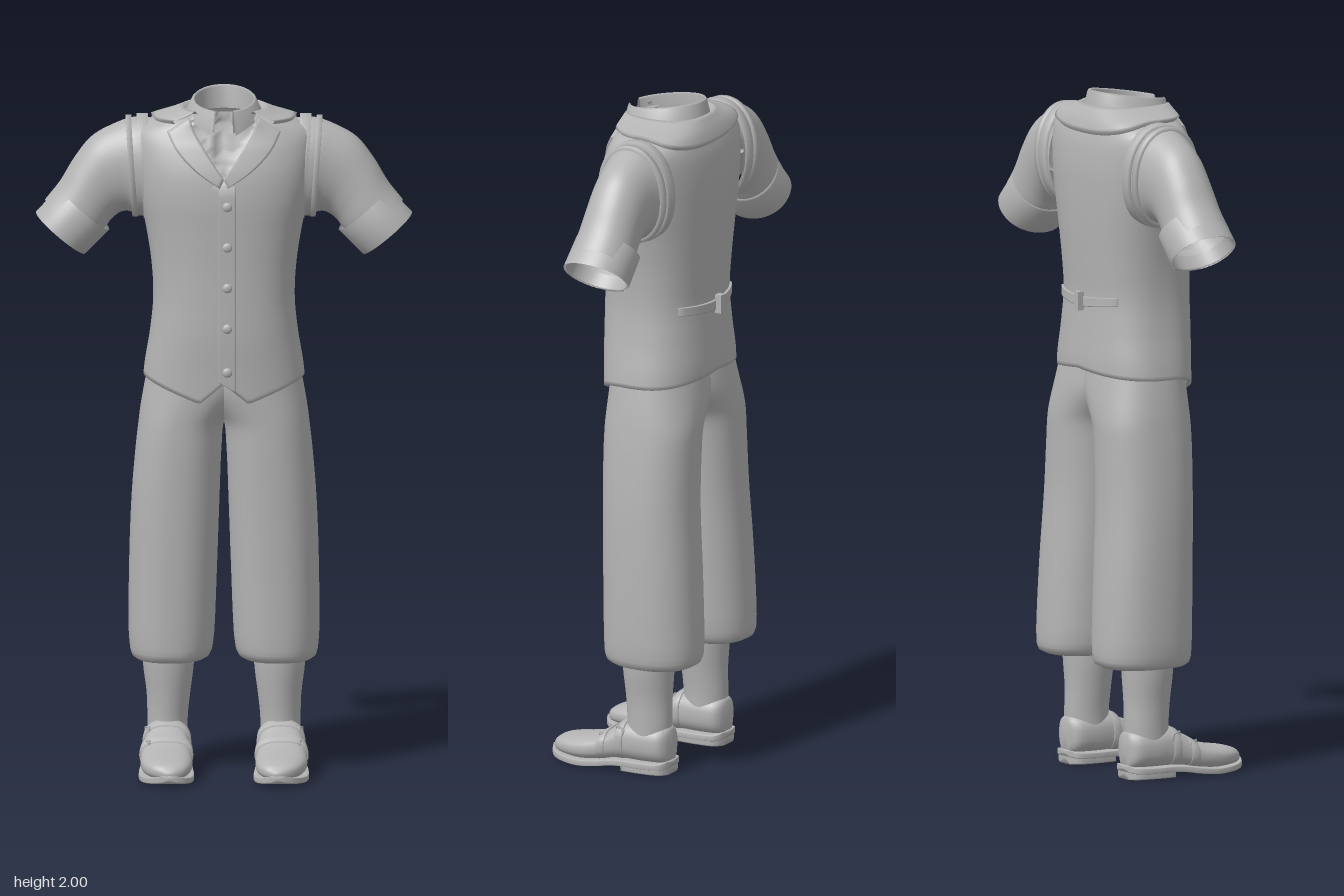
import * as THREE from 'three';

const V = (x, y, z) => new THREE.Vector3(x, y, z);
const grey = new THREE.MeshStandardMaterial({ color: 0xb4b4b4, side: THREE.DoubleSide });
grey.name = 'plain grey';

// Smooth lookup in a table of rows [key, a, b, ...] sorted by rising key
function sample(table, k) {
  const n = table.length - 1;
  k = Math.min(Math.max(k, table[0][0]), table[n][0]);
  let i = 0;
  while (i < n - 1 && k > table[i + 1][0]) i++;
  const p = table[i], q = table[i + 1], o = table[Math.max(i - 1, 0)], r = table[Math.min(i + 2, n)];
  const h = q[0] - p[0], t = (k - p[0]) / h, t2 = t * t, t3 = t2 * t;
  return p.slice(1).map((a, j) => {
    const b = q[j + 1];
    const m0 = (b - o[j + 1]) / (q[0] - o[0]) * h, m1 = (r[j + 1] - a) / (r[0] - p[0]) * h;
    return a * (2 * t3 - 3 * t2 + 1) + m0 * (t3 - 2 * t2 + t) + b * (3 * t2 - 2 * t3) + m1 * (t3 - t2);
  });
}

// Skin over a list of point rows; closed rows wrap round
function loft(name, rows, closed = true) {
  const pos = [], index = [], n = rows[0].length;
  rows.forEach(row => row.forEach(p => pos.push(p.x, p.y, p.z)));
  for (let i = 0; i < rows.length - 1; i++) {
    for (let j = 0; j < (closed ? n : n - 1); j++) {
      const a = i * n + j, b = i * n + (j + 1) % n;
      index.push(a, b, b + n, a, b + n, a + n);
    }
  }
  const g = new THREE.BufferGeometry();
  g.setAttribute('position', new THREE.Float32BufferAttribute(pos, 3));
  g.setIndex(index);
  g.computeVertexNormals();
  const mesh = new THREE.Mesh(g, grey);
  mesh.name = name;
  return mesh;
}

const pw = (c, n) => Math.sign(c) * Math.abs(c) ** (2 / n);
// Closed ring of f(sin, cos) with superellipse exponent n
const ring = (count, n, f) => Array.from({ length: count }, (_, i) => {
  const a = i / count * Math.PI * 2;
  return f(pw(Math.sin(a), n), pw(Math.cos(a), n));
});
// Horizontal ring between x and z limits
const flatRing = ([y, x0, x1, zf, zb], n = 2.3) => ring(40, n, (s, c) =>
  V((x0 + x1) / 2 + s * (x1 - x0) / 2, y, (zf + zb) / 2 + c * (zf - zb) / 2));
// Rows sampled finely from a table
const refine = (table, steps) => Array.from({ length: steps + 1 }, (_, i) => {
  const k = THREE.MathUtils.lerp(table[0][0], table[table.length - 1][0], i / steps);
  return [k, ...sample(table, k)];
});

// Torso profile: y, half width, front z, back z
const TORSO = [[1.08, .242, .1, -.205], [1.2, .23, .105, -.212], [1.3, .214, .11, -.206], [1.4, .205, .11, -.2],
  [1.5, .21, .11, -.205], [1.6, .225, .112, -.211], [1.7, .246, .114, -.215], [1.78, .258, .106, -.215],
  [1.85, .264, .085, -.208], [1.89, .255, .067, -.197], [1.915, .215, .06, -.187], [1.935, .15, .062, -.175], [1.95, .11, .06, -.165]];
const EXP = 2.5;
function torso(a, y, lift = 0) {
  const [w, f, b] = sample(TORSO, y);
  return V(w * pw(Math.sin(a), EXP) + lift * Math.sin(a), y + (y > 1.86 ? lift : 0),
    (f + b) / 2 + (f - b) / 2 * pw(Math.cos(a), EXP) + lift * Math.cos(a));
}
// Torso z at x, y on the front (side 1) or back (side -1)
function torsoZ(x, y, side) {
  const [w, f, b] = sample(TORSO, y), t = Math.min(Math.abs(x) / w, .97);
  return (f + b) / 2 + side * (f - b) / 2 * (1 - t ** EXP) ** (1 / EXP);
}
// Raised panel lying on the torso between two edges of [x, y] points
function panel(name, edgeA, edgeB, lift, side = 1) {
  const curve = e => new THREE.CatmullRomCurve3(e.map(([x, y]) => V(x, y, 0)));
  const A = curve(edgeA), B = curve(edgeB), N = 20, M = 10, rows = [];
  for (let i = -1; i <= N + 1; i++) {
    const t = THREE.MathUtils.clamp(i / N, 0, 1), a = A.getPoint(t), b = B.getPoint(t), row = [];
    for (let j = -1; j <= M + 1; j++) {
      const p = a.clone().lerp(b, THREE.MathUtils.clamp(j / M, 0, 1));
      const edge = i < 0 || j < 0 || i > N || j > M;
      row.push(p.setZ(torsoZ(p.x, p.y, side) + side * (edge ? -.005 : lift)));
    }
    rows.push(side > 0 ? row : row.reverse());
  }
  return loft(name, rows, false);
}

function vest() {
  const group = new THREE.Group();
  group.name = 'vest';
  const COLS = 120, ROWS = 64, rows = [];
  const hem = (x, front) => {
    const d = Math.abs(x);
    if (!front) return 1.17 + .02 * (1 - d / .24);
    return d < .07 ? 1.165 - d / .07 * .06 : 1.105 + Math.min((d - .07) / .165, 1) * .065;
  };
  for (let i = -1; i <= ROWS; i++) {
    rows.push(Array.from({ length: COLS }, (_, j) => {
      const a = j / COLS * Math.PI * 2, front = Math.cos(a) > 0;
      const h = hem(torso(a, 1.14).x, front), y = h + (1.95 - h) * Math.max(i, 0) / ROWS;
      const p = torso(a, y, i < 0 ? -.015 : 0), d = Math.abs(p.x);
      // shirt front sits deeper inside the neckline, with an open throat
      if (front && d < (y - 1.755) * .6) p.z -= .014;
      if (front && d < (y - 1.83) * .3) p.z -= .045;
      return p;
    }));
  }
  group.add(loft('vestBody', rows));

  // Lapels, and the collar running round the back
  for (const s of [1, -1]) {
    group.add(panel('lapel', [[0, 1.768], [s * .045, 1.835], [s * .085, 1.9], [s * .1, 1.94]],
      [[s * .012, 1.745], [s * .085, 1.795], [s * .138, 1.85], [s * .165, 1.9]], .009));
  }
  const band = [];
  for (let k = -1; k <= 9; k++) {
    band.push(Array.from({ length: 61 }, (_, j) => {
      const a = .7 + j / 60 * (Math.PI * 2 - 1.4), back = Math.max(-Math.cos(a), 0);
      const low = 1.92 - .04 * back ** 2, t = THREE.MathUtils.clamp(k / 8, 0, 1);
      return torso(a, low + (1.95 - low) * t, k < 0 || k > 8 ? -.004 : .009);
    }));
  }
  group.add(loft('backCollar', band, false));

  // Front overlap and buttons
  group.add(panel('frontOverlap', [[-.016, 1.17], [-.016, 1.745]], [[.035, 1.14], [.035, 1.75]], .004));
  for (const y of [1.69, 1.57, 1.45, 1.33, 1.2]) {
    const b = new THREE.Mesh(new THREE.SphereGeometry(.014, 16, 10), grey);
    b.name = 'button';
    b.scale.z = .5;
    b.position.set(.01, y, torsoZ(.01, y, 1) + .006);
    group.add(b);
  }

  // Back cinch strap with buckle
  group.add(panel('backStrap', [[-.15, 1.41], [0, 1.4], [.15, 1.41]], [[-.15, 1.385], [0, 1.372], [.15, 1.385]], .007, -1));
  const buckle = new THREE.Mesh(new THREE.BoxGeometry(.022, .055, .02), grey);
  buckle.name = 'strapBuckle';
  buckle.position.set(-.01, 1.388, -.214);
  group.add(buckle);
  return group;
}

// Sleeve ring from top point, bottom point and z limits
const armRing = ([tx, ty, bx, by, zf, zb]) => ring(40, 2.1, (s, c) =>
  V((tx + bx) / 2 + c * (tx - bx) / 2, (ty + by) / 2 + c * (ty - by) / 2, (zf + zb) / 2 + s * (zf - zb) / 2));
function sleeve() {
  const group = new THREE.Group();
  group.name = 'sleeve';
  const shape = [[0, .2, 1.915, .2, 1.63, .03, -.185], [1, .26, 1.918, .25, 1.63, .022, -.18],
    [2, .32, 1.898, .272, 1.642, .01, -.17], [3, .385, 1.86, .298, 1.64, .003, -.166],
    [4, .435, 1.797, .325, 1.62, .003, -.165], [5, .475, 1.73, .352, 1.585, .008, -.166], [6, .518, 1.675, .388, 1.56, .01, -.166]];
  group.add(loft('sleeveBody', refine(shape, 36).map(r => armRing(r.slice(1)))));
  // Turned-up cuff with an inner wall
  group.add(loft('cuff', [[.466, 1.705, .35, 1.595, 0, -.16], [.475, 1.712, .332, 1.588, .018, -.175],
    [.545, 1.638, .402, 1.518, .022, -.178], [.538, 1.636, .406, 1.526, .014, -.17], [.47, 1.7, .345, 1.6, .005, -.163]].map(armRing)));
  // Armhole edge of the vest and the seam ridge beside it
  const ridge = (name, x, w, g) => group.add(loft(name, [[-w, -.012], [-w, 0], [w, 0], [w, -.012]].map(([dx, r]) =>
    armRing([x + dx + .012, 1.92 + g + r, x + dx - .008, 1.63 - g - r, .025 + g + r, -.185 - g - r]))));
  ridge('armholeEdge', .225, .016, .008);
  ridge('sleeveSeam', .265, .008, .004);
  return group;
}

// Folded shirt collar, open at the front with two points
function shirtCollar() {
  const fold = [[.088, .105, 0], [.084, .112, .9], [.088, .116, 1], [.094, .12, .92], [.116, .132, 0], [.11, .126, 0]];
  return loft('shirtCollar', fold.map(([rx, rz, t]) => Array.from({ length: 61 }, (_, j) => {
    const a = .3 + j / 60 * (Math.PI * 2 - .6), c = Math.cos(a);
    const top = 1.982 - .018 * c, low = 1.932 - .045 * Math.max(c, 0) ** 4;
    return V(rx * Math.sin(a), low + (top - low) * t, -.045 + rz * c);
  })), false);
}

// Shoe sections: z, centre x, half width, bottom y, top y
const SHOE = [[-.155, .163, .028, .035, .13], [-.14, .163, .052, .03, .14], [-.08, .164, .063, .028, .146],
  [-.02, .165, .064, .028, .145], [.02, .166, .068, .025, .122], [.06, .167, .073, .018, .098],
  [.12, .166, .075, .012, .082], [.18, .163, .064, .015, .072], [.215, .159, .043, .02, .06], [.23, .157, .015, .026, .044]];
function shoe() {
  const group = new THREE.Group();
  group.name = 'shoe';
  const section = (z, cx, hw, y0, y1, n) => ring(32, n, (s, c) => V(cx + c * hw, (y0 + y1) / 2 + s * (y1 - y0) / 2, z));
  const cap = rows => [rows[0], ...rows, rows[rows.length - 1]].map((r, i, all) => {
    if (i && i < all.length - 1) return r;
    const m = r.reduce((a, p) => a.add(p), V(0, 0, 0)).divideScalar(r.length);
    return r.map(() => m.clone());
  });
  const fine = refine(SHOE, 40);
  group.add(loft('shoeUpper', cap(fine.map(([z, cx, hw, a, b]) => section(z, cx, hw, a, b, 2.5)))));
  group.add(loft('sole', cap(fine.map(([z, cx, hw, a]) => section(z * 1.02, cx, hw + .005, a - .012, a + .008, 8)))));
  group.add(loft('heel', cap(fine.filter(r => r[0] < -.02).map(([z, cx, hw]) => section(z, cx, hw + .003, 0, .035, 8)))));
  // Two straps, each with a square buckle on the outer side
  for (const [z, y] of [[.045, .088], [-.012, .118]]) {
    const rows = [[-.012, 0], [-.011, .006], [.011, .006], [.012, 0]].map(([d, g]) => {
      const [cx, hw, a, b] = sample(SHOE, z + d);
      return section(z + d, cx, hw + g, a, b + g, 2.5);
    });
    group.add(loft('strap', rows));
    const buckle = new THREE.Mesh(new THREE.TorusGeometry(.018, .005, 6, 4, Math.PI * 2), grey);
    buckle.name = 'shoeBuckle';
    buckle.position.set(.221, y, z);
    buckle.rotation.set(0, Math.PI / 2 - .3, .6);
    group.add(buckle);
  }
  return group;
}

function leg() {
  const group = new THREE.Group();
  group.name = 'leg';
  // Trouser leg, gathered in at the bottom
  const shape = [[.352, .034, .272, .056, -.233], [.4, .028, .276, .058, -.234], [.6, .02, .275, .062, -.225],
    [.8, .013, .268, .067, -.213], [.95, .007, .256, .071, -.212], [1.03, -.002, .247, .072, -.213],
    [1.07, -.03, .242, .073, -.211], [1.13, -.075, .232, .074, -.205], [1.22, -.09, .215, .07, -.19]];
  const under = [[.36, .085, .235, 0, -.15], [.335, .075, .24, .02, -.18], [.328, .056, .256, .038, -.212], [.336, .042, .267, .051, -.227]];
  group.add(loft('trouserLeg', [...under, ...refine(shape, 50)].map(r => flatRing(r))));
  group.add(loft('sock', refine([[.08, .105, .222, -.01, -.145], [.15, .105, .222, -.013, -.147],
    [.22, .098, .224, -.008, -.146], [.3, .088, .234, 0, -.15], [.37, .085, .238, .003, -.153]], 14).map(r => flatRing(r, 2))));
  group.add(shoe());
  return group;
}

export function createModel() {
  const model = new THREE.Group();
  model.name = 'outfit';
  model.add(vest(), shirtCollar());
  for (const s of [1, -1]) {
    const half = new THREE.Group();
    half.name = s > 0 ? 'leftSide' : 'rightSide';
    half.add(sleeve(), leg());
    half.scale.x = s;
    model.add(half);
  }
  return model;
}
